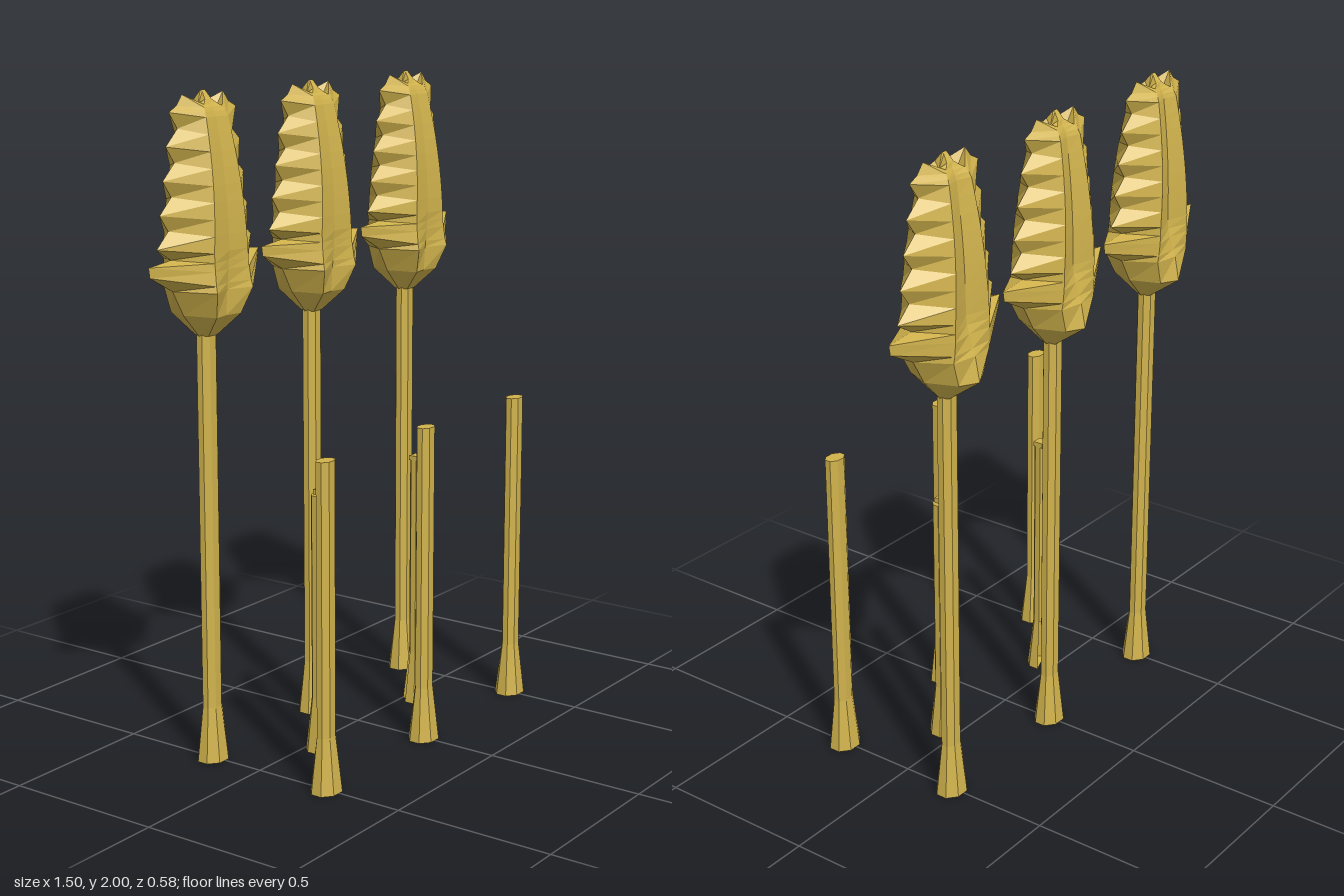
import * as THREE from 'three';

const mat = new THREE.MeshStandardMaterial({ color: 0xd0b24c, flatShading: true, side: THREE.DoubleSide });

function add(parent, geo, name) {
  const m = new THREE.Mesh(geo, mat);
  m.name = name;
  parent.add(m);
  return m;
}

// Eight-sided post: flared foot and straight shaft, slightly flattened in z
function makePost(name, height, foot, shaft, open = false) {
  const g = new THREE.Group();
  g.name = name;
  const k = 1 / Math.cos(Math.PI / 8), flareH = 0.17;
  // an open foot leaves out one facet
  const start = open ? Math.PI * 7 / 8 : Math.PI / 8;
  const sweep = open ? Math.PI * 7 / 4 : Math.PI * 2;
  const flare = new THREE.CylinderGeometry(1, 1, flareH, open ? 7 : 8, 1, false, start, sweep);
  const pos = flare.attributes.position;
  for (let i = 0; i < pos.count; i++) {
    const [rx, rz] = pos.getY(i) > 0 ? shaft : foot;
    pos.setXYZ(i, pos.getX(i) * rx * k, pos.getY(i) + flareH / 2, pos.getZ(i) * rz * k);
  }
  add(g, flare, 'flaredFoot');
  const h = height - flareH;
  const rod = new THREE.CylinderGeometry(k, k, h, 8, 1, false, Math.PI / 8);
  rod.scale(shaft[0], 1, shaft[1]).translate(0, flareH + h / 2, 0);
  add(g, rod, 'shaft');
  return g;
}

// Flower head lofted from eight-point sections.
// Row: edge y, edge half-width, panel y, panel half-width,
//      front depth, front centre depth, back depth, back centre depth
function makeHead() {
  const rows = [
    // calyx and side leaves
    [1.30, 0.033, 1.30, 0.02, 0.024, 0.024, 0.024, 0.024],
    [1.37, 0.10, 1.365, 0.055, 0.085, 0.075, 0.085, 0.115],
    [1.445, 0.145, 1.44, 0.08, 0.11, 0.08, 0.088, 0.10],
    [1.495, 0.24, 1.46, 0.078, 0.105, 0.082, 0.09, 0.09],
    [1.525, 0.245, 1.50, 0.076, 0.10, 0.085, 0.092, 0.08],
    [1.535, 0.15, 1.525, 0.075, 0.098, 0.086, 0.092, 0.072],
  ];
  // serrated sides
  for (let i = 0; i < 9; i++) {
    const t = i / 8, valley = i % 2;
    const y = 1.57 + 0.376 * t;
    const w = 0.21 - 0.063 * t - (valley ? 0.043 : 0);
    const zf = 0.097 - 0.045 * t * t, zb = 0.092 - 0.038 * t * t;
    rows.push([y, w, y - 0.018, 0.075 - 0.027 * t, zf, zf * 0.92, zb, zb * 0.75]);
  }
  // crown with two horns and a centre spike
  rows.push(
    [1.962, 0.115, 1.942, 0.045, 0.046, 0.042, 0.048, 0.036],
    [1.992, 0.09, 1.955, 0.04, 0.038, 0.035, 0.038, 0.03],
    [1.95, 0.06, 1.962, 0.03, 0.03, 0.028, 0.03, 0.025],
    [1.955, 0.022, 1.975, 0.014, 0.02, 0.02, 0.02, 0.02],
    [2.0, 0.01, 1.995, 0.006, 0.004, 0.004, 0.004, 0.004],
  );
  const pts = [], idx = [];
  for (const [y, w, yp, p, zf, zfc, zb, zbc] of rows) {
    pts.push(w, y, 0, p, yp, zf, 0, yp, zfc, -p, yp, zf,
      -w, y, 0, -p, yp, -zb, 0, yp, -zbc, p, yp, -zb);
  }
  for (let r = 0; r < rows.length - 1; r++) {
    for (let j = 0; j < 8; j++) {
      const a = r * 8 + j, b = r * 8 + (j + 1) % 8;
      idx.push(a, a + 8, b, b, a + 8, b + 8);
    }
  }
  const top = (rows.length - 1) * 8;
  for (let j = 1; j < 7; j++) idx.push(top, top + j + 1, top + j);
  const geo = new THREE.BufferGeometry();
  geo.setAttribute('position', new THREE.Float32BufferAttribute(pts, 3));
  geo.setIndex(idx);
  const flat = geo.toNonIndexed();
  flat.computeVertexNormals();
  return flat;
}

export function createModel() {
  const model = new THREE.Group();
  model.name = 'flowerPosts';
  const head = makeHead();

  // Back row of tall flowers, front row of plain posts
  for (const x of [-0.505, 0, 0.505]) {
    const flower = makePost('tallFlower', 1.31, [0.051, 0.042], [0.033, 0.024]);
    add(flower, head, 'flowerHead');
    flower.position.set(x, 0, -0.175);
    model.add(flower);

    const post = makePost('frontPost', 0.99, [0.051, 0.042], [0.033, 0.023]);
    post.position.set(x, 0, 0.25);
    model.add(post);
  }

  // Middle pair of short posts, mirrored
  for (const s of [-1, 1]) {
    const post = makePost('shortPost', 0.805, [0.042, 0.042], [0.026, 0.023], true);
    // raised half of the top
    const step = new THREE.BoxGeometry(0.035, 0.015, 0.034);
    step.translate(0.0085, 0.8125, 0);
    add(post, step, 'topStep');
    post.position.set(s * 0.262, 0, 0.047);
    post.scale.x = -s;
    model.add(post);
  }
  return model;
}
